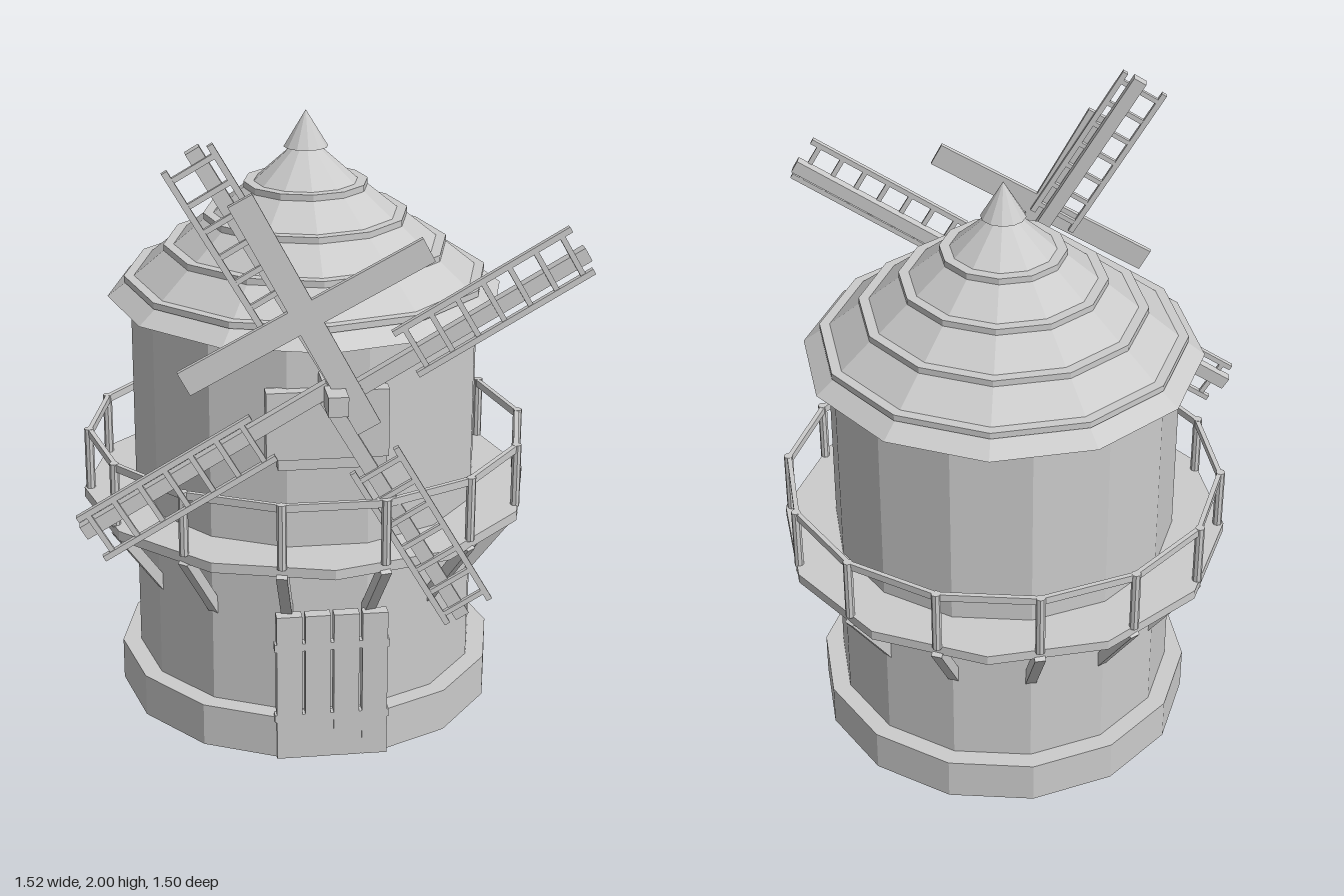
import * as THREE from 'three';

const grey = new THREE.MeshStandardMaterial({ color: 0xcccccc, flatShading: true, side: THREE.DoubleSide });
const AXIS_Z = -0.02; // tower axis
const SIDES = 14;

function add(parent, name, geometry, x = 0, y = 0, z = 0) {
  const mesh = new THREE.Mesh(geometry, grey);
  mesh.name = name;
  mesh.position.set(x, y, z);
  parent.add(mesh);
  return mesh;
}

function box(parent, name, w, h, d, x, y, z) {
  return add(parent, name, new THREE.BoxGeometry(w, h, d), x, y, z);
}

// Square bar running from a to b
function bar(parent, name, a, b, w, h) {
  const mesh = box(parent, name, w, h, a.distanceTo(b), 0, 0, 0);
  mesh.position.copy(a).add(b).multiplyScalar(0.5);
  mesh.lookAt(b);
  return mesh;
}

// Upright drum with a flat side towards the front
function drum(parent, name, r, y0, y1) {
  const g = new THREE.CylinderGeometry(r, r, y1 - y0, SIDES).rotateY(Math.PI / SIDES);
  return add(parent, name, g, 0, (y0 + y1) / 2, 0);
}

function buildTower() {
  const tower = new THREE.Group();
  tower.name = 'tower';
  drum(tower, 'base', 0.617, 0, 0.14);
  drum(tower, 'wall', 0.557, 0.14, 1.355);

  // Stepped roof: four thin discs with sloping tiers between them
  const profile = [[0, 1.35], [0.63, 1.35], [0.57, 1.395]];
  for (let i = 0; i < 4; i++) {
    const r = 0.577 - i * 0.127, y = 1.395 + i * 0.098;
    profile.push([r, y], [r, y + 0.02], [r - 0.032, y + 0.02]);
  }
  profile.push([0.04, 1.82], [0, 1.82]);
  add(tower, 'roof', new THREE.LatheGeometry(profile.map(p => new THREE.Vector2(...p)), 12));
  add(tower, 'finial', new THREE.ConeGeometry(0.07, 0.115, 12), 0, 1.873, 0);
  return tower;
}

function buildGallery() {
  const gallery = new THREE.Group();
  gallery.name = 'gallery';
  add(gallery, 'deck', new THREE.CylinderGeometry(0.726, 0.726, 0.032, 12), 0, 0.684, 0);
  const at = (i, r, y) => {
    const a = (i / SIDES) * Math.PI * 2;
    return new THREE.Vector3(Math.cos(a) * r, y, Math.sin(a) * r);
  };
  for (let i = 0; i < SIDES; i++) {
    const p = at(i, 0.705, 0.8);
    add(gallery, 'railPost', new THREE.CylinderGeometry(0.015, 0.015, 0.21, 8), p.x, p.y, p.z);
    bar(gallery, 'handrail', at(i, 0.702, 0.892), at(i + 1, 0.702, 0.892), 0.015, 0.024);
    bar(gallery, 'brace', at(i, 0.7, 0.675), at(i, 0.54, 0.45), 0.034, 0.034);
  }
  return gallery;
}

function buildDoor() {
  const door = new THREE.Group();
  door.name = 'door';
  for (let i = 0; i < 4; i++) {
    box(door, 'doorPlank', 0.079, 0.49, 0.04, -0.125 + i * 0.089, 0.245, 0.563);
  }
  for (const y of [0.14, 0.385]) box(door, 'doorBar', 0.358, 0.025, 0.03, 0.008, y, 0.568);
  return door;
}

function buildSails() {
  const sails = new THREE.Group();
  sails.name = 'sails';
  sails.position.set(0, 1.235, 0);
  box(sails, 'axle', 0.06, 0.06, 0.23, 0, 0, 0.635);

  for (let i = 0; i < 4; i++) {
    const arm = new THREE.Group();
    arm.name = 'sailArm';
    arm.rotation.z = Math.PI / 6 + i * Math.PI / 2;
    sails.add(arm);
    box(arm, 'spar', 0.84, 0.045, 0.035, 0.42, -0.024, 0.633);
    // Lattice frame on the front of the spar
    for (const s of [-1, 1]) box(arm, 'latticeRail', 0.59, 0.018, 0.018, 0.535, s * 0.074, 0.653);
    for (let k = 0; k < 7; k++) box(arm, 'latticeRung', 0.016, 0.15, 0.014, 0.275 + k * 0.087, 0, 0.652);
  }

  // Broad cross of planks mounted above the hub
  const cross = new THREE.Group();
  cross.name = 'plankCross';
  cross.position.set(-0.085, 0.25, 0.668);
  cross.rotation.z = THREE.MathUtils.degToRad(28);
  box(cross, 'crossPlank', 0.8, 0.078, 0.018, 0, 0, 0);
  box(cross, 'uprightPlank', 0.078, 0.79, 0.018, 0, 0, 0);
  sails.add(cross);
  return sails;
}

export function createModel() {
  const model = new THREE.Group();
  model.name = 'windmill';
  const tower = buildTower(), gallery = buildGallery();
  tower.position.z = gallery.position.z = AXIS_Z;
  model.add(tower, gallery, buildDoor(), buildSails());

  // Bearing block behind the axle
  const block = new THREE.Group();
  block.name = 'bearingBlock';
  box(block, 'blockPanel', 0.37, 0.215, 0.05, -0.005, 1.107, 0.535);
  box(block, 'blockSill', 0.33, 0.035, 0.04, 0.01, 0.983, 0.535);
  model.add(block);
  return model;
}
